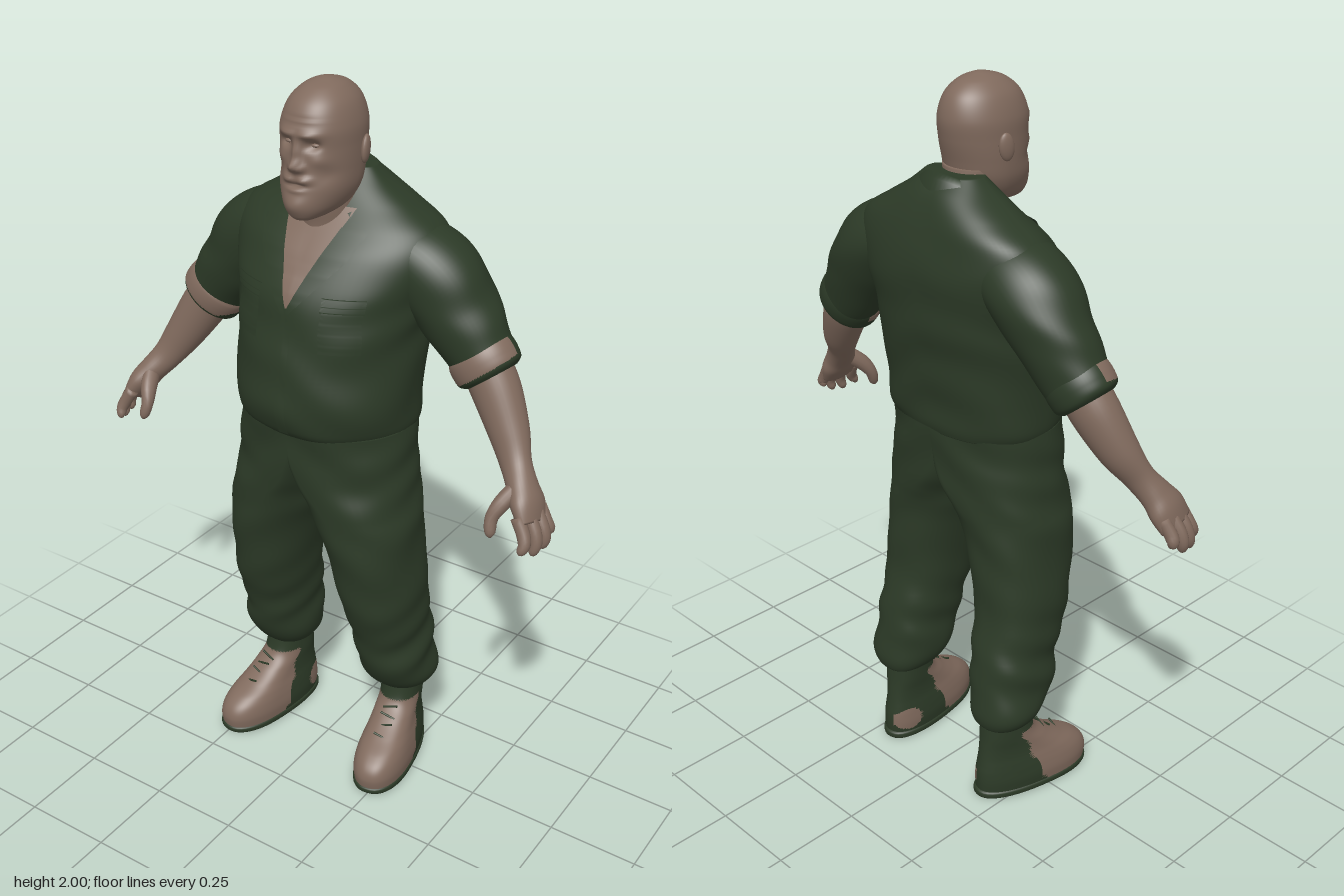
import * as THREE from 'three';

const V = (x, y, z) => new THREE.Vector3(x, y, z);
const mat = (name, color) => {
  const m = new THREE.MeshStandardMaterial({ color, side: THREE.DoubleSide });
  m.name = name;
  return m;
};

// Smoothly resample rows of numbers
function resample(rows, n) {
  const out = [], last = rows.length - 1;
  for (let i = 0; i <= n; i++) {
    const t = (i / n) * last, k = Math.min(Math.floor(t), last - 1), f = t - k;
    const a = rows[Math.max(k - 1, 0)], b = rows[k], c = rows[k + 1], d = rows[Math.min(k + 2, last)];
    out.push(b.map((_, j) => b[j] + 0.5 * f * (c[j] - a[j] + f * (2 * a[j] - 5 * b[j] + 4 * c[j] - d[j]
      + f * (3 * (b[j] - c[j]) + d[j] - a[j])))));
  }
  return out;
}

// Skin over a list of rings, with optional closing round the ring and end caps
function skinRings(rings, closed = true) {
  const n = rings[0].length, pos = [], idx = [];
  rings.forEach(r => r.forEach(p => pos.push(p.x, p.y, p.z)));
  for (let i = 0; i < rings.length - 1; i++) for (let j = 0; j < (closed ? n : n - 1); j++) {
    const k = (j + 1) % n, a = i * n + j, b = a + n, c = i * n + k, d = c + n;
    idx.push(a, b, c, b, d, c);
  }
  if (closed) [0, rings.length - 1].forEach((ri, e) => {
    const m = rings[ri].reduce((s, p) => s.add(p), V(0, 0, 0)).divideScalar(n), ci = pos.length / 3;
    pos.push(m.x, m.y, m.z);
    for (let j = 0; j < n; j++) {
      const a = ri * n + j, b = ri * n + (j + 1) % n;
      e ? idx.push(ci, b, a) : idx.push(ci, a, b);
    }
  });
  const g = new THREE.BufferGeometry();
  g.setAttribute('position', new THREE.Float32BufferAttribute(pos, 3));
  g.setIndex(idx);
  g.computeVertexNormals();
  return g;
}

const pw = (v, e) => Math.sign(v) * Math.abs(v) ** e;

// Upright loft; rows are [y, cx, halfWidth, zMid, zFront, zBack, innerHalfWidth], lowest first
function loft(rows, { nf = 2, nb = 2, steps = 40, sides = 48, warp } = {}) {
  return skinRings(resample(rows, steps).map(([y, cx, rx, zc, zf, zb, ri = rx]) =>
    Array.from({ length: sides }, (_, j) => {
      const t = (j / sides) * Math.PI * 2, c = Math.cos(t), s = Math.sin(t), n = s > 0 ? nf : nb;
      const p = V(cx + (c > 0 ? rx : ri) * pw(c, 2 / n), y, zc + (s > 0 ? zf - zc : zc - zb) * pw(s, 2 / n));
      if (warp) warp(p);
      return p;
    })));
}

// Limb along a path; rows are [x, y, z, radiusAcross, radiusInZ]
function limb(rows, { steps = 24, sides = 32, warp } = {}) {
  const r = resample(rows, steps), at = i => V(...r[Math.max(0, Math.min(steps, i))].slice(0, 3));
  return skinRings(r.map((row, i) => {
    const t = at(i + 1).sub(at(i - 1)).normalize();
    const e2 = V(0, 0, 1).addScaledVector(t, -t.z).normalize(), e1 = t.clone().cross(e2);
    return Array.from({ length: sides }, (_, j) => {
      const a = (j / sides) * Math.PI * 2;
      const p = at(i).addScaledVector(e1, row[3] * Math.cos(a)).addScaledVector(e2, row[4] * Math.sin(a));
      if (warp) warp(p);
      return p;
    });
  }));
}

// Sort faces into two material groups by a rule on their centres
function split(g, rule) {
  const p = g.attributes.position, ix = g.index.array, sets = [[], []];
  for (let i = 0; i < ix.length; i += 3) {
    const c = V(0, 0, 0);
    for (let k = 0; k < 3; k++) c.add(V(0, 0, 0).fromBufferAttribute(p, ix[i + k]).divideScalar(3));
    sets[rule(c) ? 1 : 0].push(ix[i], ix[i + 1], ix[i + 2]);
  }
  g.setIndex([...sets[0], ...sets[1]]);
  g.addGroup(0, sets[0].length, 0);
  g.addGroup(sets[0].length, sets[1].length, 1);
  return g;
}

function mirrored(g) {
  const m = g.clone().scale(-1, 1, 1), ix = m.index.array;
  for (let i = 0; i < ix.length; i += 3) [ix[i], ix[i + 1]] = [ix[i + 1], ix[i]];
  m.computeVertexNormals();
  return m;
}

// Soft folds in the cloth, fading out at the centre line
function cloth(p) {
  const { x, y, z } = p, side = Math.min(1, Math.abs(x) * 8);
  const a = 0.0025 + 0.003 * Math.exp(-(((y - 0.36) / 0.12) ** 2));
  p.z += a * Math.sin(34 * y + 16 * Math.abs(x) + 2 * Math.sin(9 * x + 5 * y));
  p.x += a * Math.sign(x) * side * Math.sin(41 * y + 20 * z + 1.5 * Math.sin(13 * y));
}

const torsoRows = [
  [1.1, 0, 0.24, 0, 0.193, -0.175], [1.13, 0, 0.249, 0, 0.212, -0.183], [1.2, 0, 0.252, 0, 0.226, -0.188],
  [1.3, 0, 0.255, -0.02, 0.215, -0.2], [1.4, 0, 0.26, -0.03, 0.198, -0.214], [1.5, 0, 0.28, -0.05, 0.172, -0.222],
  [1.58, 0, 0.3, -0.06, 0.122, -0.219], [1.64, 0, 0.28, -0.07, 0.07, -0.208], [1.69, 0, 0.205, -0.07, 0.03, -0.19],
  [1.735, 0, 0.13, -0.07, 0, -0.165], [1.77, 0, 0.085, -0.07, -0.03, -0.13]];
const torsoFine = resample(torsoRows, 300);

// Thin panel lying on the front of the torso between two edges
function panel(y0, y1, left, right, lift) {
  const rows = [];
  for (let i = 0; i <= 24; i++) {
    const y = y0 + (y1 - y0) * i / 24, s = torsoFine.find(q => q[0] >= y), row = [];
    for (let j = 0; j <= 10; j++) {
      const x = left(y) + (right(y) - left(y)) * j / 10;
      const p = V(x, y, s[3] + (s[4] - s[3]) * Math.sqrt(Math.max(0, 1 - (x / s[2]) ** 2)));
      cloth(p);
      p.z += lift;
      row.push(p);
    }
    rows.push(row);
  }
  return skinRings(rows, false);
}

export function createModel() {
  const skin = mat('skin', 0x806a5d), green = mat('uniform green', 0x2c3a27);
  const root = new THREE.Group();
  root.name = 'man';
  const add = (name, g, m) => {
    const mesh = new THREE.Mesh(g, m);
    mesh.name = name;
    root.add(mesh);
  };
  const pair = (name, g, m) => { add(name + 'Left', g, m); add(name + 'Right', mirrored(g), m); };

  // Overalls: body, then trouser halves that merge at the hips
  add('torso', loft(torsoRows, { nb: 2.6, steps: 80, sides: 80, warp: cloth }), green);
  pair('trouserHalf', loft([[0.235, 0.2, 0.05, -0.1, -0.03, -0.165, 0.05], [0.25, 0.2, 0.078, -0.09, -0.005, -0.18, 0.078],
    [0.29, 0.2, 0.098, -0.08, 0.03, -0.19, 0.098], [0.36, 0.195, 0.1, -0.06, 0.065, -0.185, 0.1],
    [0.45, 0.188, 0.1, -0.045, 0.095, -0.165, 0.1], [0.6, 0.178, 0.112, -0.01, 0.138, -0.143, 0.112],
    [0.75, 0.155, 0.126, 0.01, 0.163, -0.143, 0.122], [0.83, 0.13, 0.148, 0.01, 0.173, -0.147, 0.126],
    [0.88, 0.095, 0.175, 0.01, 0.179, -0.155, 0.1], [0.94, 0.045, 0.217, 0, 0.184, -0.165, 0.07],
    [1, 0.015, 0.24, 0, 0.188, -0.17, 0.05], [1.06, 0, 0.25, 0, 0.193, -0.174, 0.03], [1.115, 0, 0.245, 0, 0.198, -0.178, 0.03]],
  { nf: 2.1, nb: 2.4, steps: 100, sides: 64, warp: cloth }), green);

  // Open neckline, lapels, placket and pockets
  const vee = y => 0.085 * Math.max(0, y - 1.45) / 0.21;
  add('chest', panel(1.45, 1.69, y => -vee(y), vee, 0.003), skin);
  const lapelOut = y => vee(y) + 0.012 + 0.062 * Math.min(1, (y - 1.45) / 0.13);
  pair('lapel', panel(1.445, 1.65, vee, lapelOut, 0.009), green);
  add('placket', panel(1.12, 1.46, () => -0.012, () => 0.018, 0.005), green);
  pair('pocket', panel(1.36, 1.49, () => 0.093, () => 0.187, 0.003), green);
  pair('pocketFlap', panel(1.465, 1.5, () => 0.09, () => 0.19, 0.007), green);

  // Turned-down collar, open at the front
  const collarRing = (rx, rz, drop) => Array.from({ length: 49 }, (_, j) => {
    const a = Math.PI * (0.78 + 1.44 * j / 48), z = -0.03 + rz * Math.sin(a);
    return V(rx * Math.cos(a), 1.7 - 0.58 * z - drop, z);
  });
  add('collar', skinRings([collarRing(0.15, 0.135, 0.06), collarRing(0.13, 0.122, 0.02), collarRing(0.108, 0.108, 0),
    collarRing(0.09, 0.096, 0.004), collarRing(0.085, 0.09, 0.05)], false), green);

  // Rolled sleeves and arms
  pair('sleeve', limb([[0.15, 1.59, -0.07, 0.075, 0.1], [0.21, 1.565, -0.075, 0.1, 0.115], [0.28, 1.515, -0.08, 0.112, 0.118],
    [0.35, 1.425, -0.08, 0.103, 0.102], [0.405, 1.35, -0.075, 0.092, 0.084], [0.44, 1.305, -0.07, 0.082, 0.074]],
  { steps: 50, sides: 48, warp: cloth }), green);
  pair('cuff', split(limb([[0.4, 1.355, -0.074, 0.085, 0.078], [0.41, 1.343, -0.073, 0.092, 0.084], [0.425, 1.324, -0.071, 0.094, 0.085],
    [0.442, 1.303, -0.069, 0.09, 0.08], [0.45, 1.293, -0.068, 0.07, 0.066]], { sides: 64, steps: 30 }),
  c => c.z > -0.08 && c.y > 1.27 && 0.62 * c.x - 0.79 * c.y < -0.764), [green, skin]);
  pair('forearm', limb([[0.42, 1.33, -0.07, 0.066, 0.06], [0.465, 1.265, -0.06, 0.066, 0.06], [0.52, 1.175, -0.035, 0.055, 0.05],
    [0.56, 1.11, -0.005, 0.043, 0.037], [0.595, 1.065, 0.02, 0.038, 0.045], [0.62, 1.03, 0.035, 0.036, 0.058],
    [0.642, 0.99, 0.048, 0.025, 0.056]], { steps: 36 }), skin);
  const finger = (name, pts) => pair(name, limb(pts, { steps: 12, sides: 14 }), skin);
  [[0.632, 0.095, 0.113, 0.93], [0.648, 0.066, 0.078, 0.917], [0.655, 0.036, 0.042, 0.922], [0.65, 0.008, 0.006, 0.945]]
    .forEach(([x, z0, z1, tip], i) => finger('finger' + (i + 1), [[x - 0.012, 1.015, z0 - 0.006, 0.018, 0.016],
      [x + 0.01, 0.98, z0, 0.018, 0.017], [x + 0.02, (tip + 0.98) / 2, (z0 + z1) / 2, 0.016, 0.016],
      [x + 0.016, tip + 0.008, z1, 0.012, 0.012], [x + 0.012, tip, z1, 0.004, 0.004]]));
  finger('thumb', [[0.59, 1.07, 0.03, 0.022, 0.026], [0.57, 1.035, 0.075, 0.022, 0.024], [0.556, 1, 0.1, 0.017, 0.018],
    [0.56, 0.965, 0.113, 0.014, 0.014], [0.563, 0.952, 0.115, 0.004, 0.004]]);

  // Boots, turned slightly outward, with a bare patch inside each heel
  const turn = g => g.translate(-0.2, 0, 0.1).rotateY(0.18).translate(0.2, 0, -0.1);
  const upper = loft([[0.015, 0.2, 0.074, 0.03, 0.178, -0.183], [0.05, 0.2, 0.077, 0.03, 0.182, -0.185], [0.08, 0.2, 0.074, 0.025, 0.17, -0.184],
    [0.105, 0.2, 0.069, 0.01, 0.14, -0.18], [0.13, 0.2, 0.063, -0.01, 0.09, -0.176], [0.16, 0.2, 0.059, -0.04, 0.04, -0.172],
    [0.2, 0.2, 0.057, -0.08, -0.005, -0.168], [0.27, 0.2, 0.055, -0.09, -0.02, -0.165]], { nf: 2.3, nb: 2.3, steps: 80, sides: 80 });
  const bare = c => (c.y < 0.205 && c.z > 0.01 - 0.4 * c.y + 0.006 * Math.sin(c.y * 90))
    || (c.z < -0.1 && c.x < 0.19 && Math.hypot(c.y - 0.065, (c.z + 0.15) * 0.9) < 0.035);
  pair('boot', turn(split(upper, bare)), [green, skin]);
  pair('sole', turn(loft([[0, 0.2, 0.068, 0.03, 0.165, -0.185], [0.005, 0.2, 0.077, 0.03, 0.181, -0.19],
    [0.018, 0.2, 0.078, 0.03, 0.183, -0.19], [0.023, 0.2, 0.073, 0.03, 0.176, -0.183]], { nf: 2.3, nb: 2.3, steps: 12 })), green);
  for (let i = 0; i < 4; i++) {
    const lace = new THREE.CylinderGeometry(0.003, 0.003, 0.045, 8).rotateZ(Math.PI / 2 + (i % 2 ? 0.3 : -0.3));
    pair('lace' + (i + 1), turn(lace.translate(0.2, 0.135 + 0.018 * i, [0.08, 0.049, 0.027, 0.007][i])), green);
  }

  // Neck and head, with the face raised and hollowed by soft bumps
  add('neck', loft([[1.56, 0, 0.07, -0.03, 0.075, -0.1], [1.64, 0, 0.08, -0.03, 0.076, -0.11], [1.7, 0, 0.078, -0.02, 0.085, -0.102],
    [1.78, 0, 0.083, -0.01, 0.08, -0.09]]), skin);
  const bumps = [[0, 1.812, 0.014, 0.016, 0.026], [0, 1.845, 0.011, 0.025, 0.014], [0.017, 1.806, 0.008, 0.009, 0.01],
    [0.037, 1.862, 0.018, 0.012, -0.018], [0.03, 1.888, 0.028, 0.009, 0.009], [0.055, 1.825, 0.02, 0.015, 0.005],
    [0.022, 1.778, 0.018, 0.009, 0.01], [0, 1.763, 0.026, 0.005, -0.009], [0, 1.752, 0.02, 0.006, 0.005],
    [0, 1.715, 0.035, 0.025, 0.01], [0.07, 1.79, 0.02, 0.02, -0.006], [0, 1.91, 0.05, 0.004, -0.002], [0, 1.925, 0.05, 0.004, -0.002]];
  const face = p => {
    if (p.z < 0.04) return;
    for (const [x, y, sx, sy, d] of bumps)
      p.z += d * Math.exp(-(((Math.abs(p.x) - x) / sx) ** 2) - ((p.y - y) / sy) ** 2);
  };
  add('head', loft([[1.674, 0, 0.028, 0.1, 0.135, 0.06], [1.685, 0, 0.052, 0.06, 0.145, 0.01], [1.71, 0, 0.077, 0.03, 0.15, -0.04],
    [1.75, 0, 0.094, 0.02, 0.147, -0.075], [1.8, 0, 0.099, 0.015, 0.139, -0.09], [1.85, 0, 0.1, 0.015, 0.137, -0.102],
    [1.9, 0, 0.098, 0.015, 0.138, -0.107], [1.95, 0, 0.081, 0.015, 0.116, -0.092], [1.982, 0, 0.052, 0.012, 0.078, -0.058],
    [1.996, 0, 0.023, 0.01, 0.036, -0.016], [2, 0, 0.003, 0.01, 0.013, 0.007]],
  { nf: 2.15, steps: 110, sides: 112, warp: face }), skin);
  const ball = (sx, sy, sz) => new THREE.SphereGeometry(1, 20, 14).scale(sx, sy, sz);
  pair('ear', ball(0.011, 0.036, 0.021).rotateY(0.3).rotateX(-0.15).translate(0.104, 1.835, -0.005), skin);
  pair('eye', ball(0.013, 0.006, 0.011).translate(0.037, 1.861, 0.109), skin);
  return root;
}
